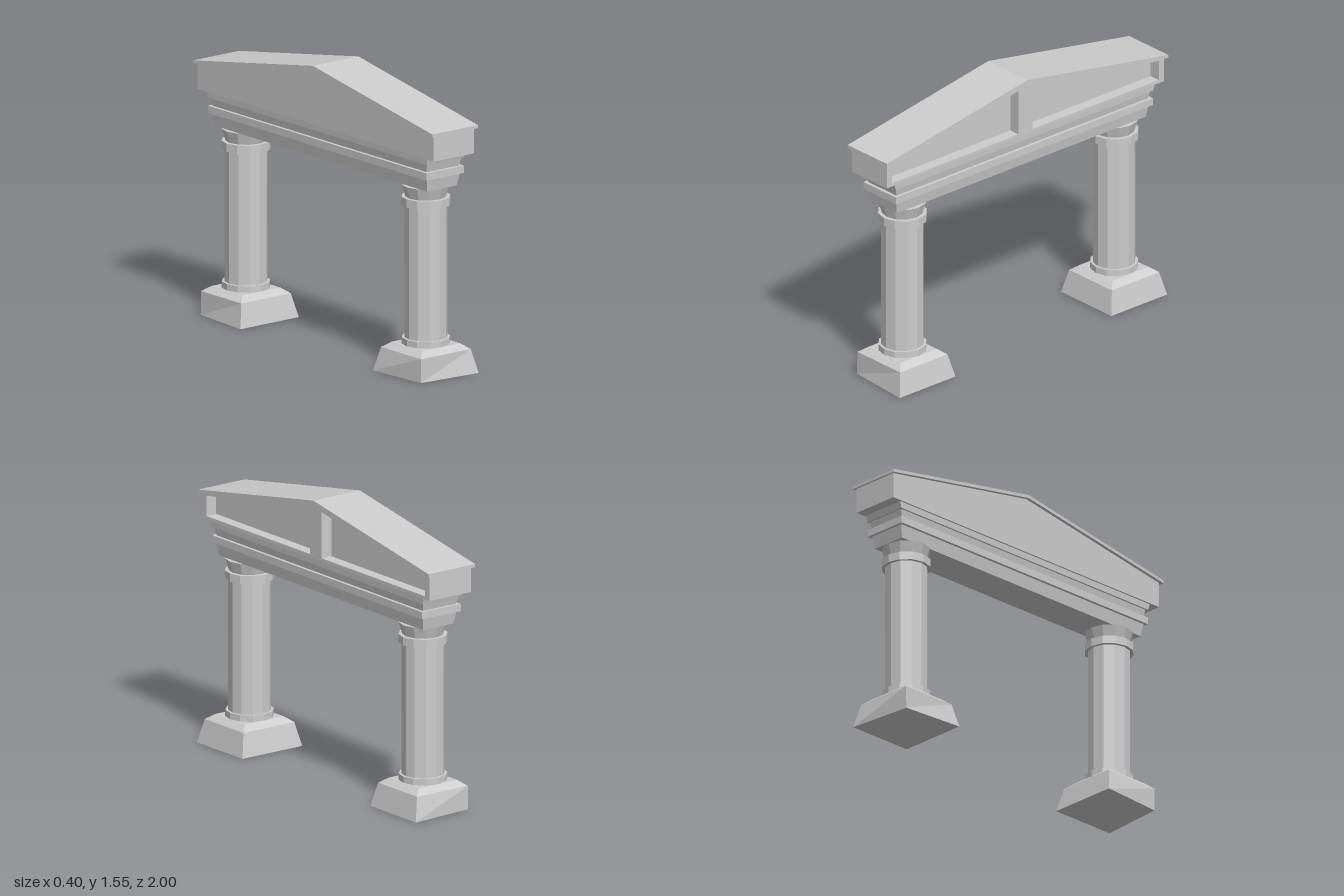
import * as THREE from 'three';

const material = new THREE.MeshStandardMaterial({ color: 0xcccccc, flatShading: true });

function add(parent, name, geometry) {
  const mesh = new THREE.Mesh(geometry, material);
  mesh.name = name;
  parent.add(mesh);
  return mesh;
}

// Four-sided block; half sizes [x, z] at its bottom and at its top
function taper(y0, [bx, bz], y1, [tx, tz]) {
  const g = new THREE.BoxGeometry(2, 2, 2);
  const p = g.attributes.position;
  for (let i = 0; i < p.count; i++) {
    const top = p.getY(i) > 0;
    p.setXYZ(i, p.getX(i) * (top ? tx : bx), top ? y1 : y0, p.getZ(i) * (top ? tz : bz));
  }
  g.computeVertexNormals();
  return g;
}

// Outline in the z-y plane, extruded from x = front back to x = back
function slab(points, front, back, holes = []) {
  const shape = new THREE.Shape(points.map(([z, y]) => new THREE.Vector2(z, y)));
  for (const h of holes) shape.holes.push(new THREE.Path(h.map(([z, y]) => new THREE.Vector2(z, y))));
  const g = new THREE.ExtrudeGeometry(shape, { depth: front - back, bevelEnabled: false });
  return g.rotateY(-Math.PI / 2).translate(front, 0, 0);
}

function drum(y0, r0, y1, r1) {
  return new THREE.CylinderGeometry(r1, r0, y1 - y0, 12).translate(0, (y0 + y1) / 2, 0);
}

// Column on its plinth; side is the z direction of its outer face
function makeColumn(side) {
  const column = new THREE.Group();
  column.name = side > 0 ? 'frontColumn' : 'backColumn';
  column.position.z = side * 0.752;

  // Plinth with one upright outer corner on the -x side
  const plinth = taper(0, [0.2, 0.198], 0.13, [0.17, 0.168]);
  const p = plinth.attributes.position;
  for (let i = 0; i < p.count; i++) {
    if (p.getY(i) < 0.01 && p.getX(i) < 0 && p.getZ(i) * side > 0) p.setXYZ(i, -0.172, 0, side * 0.168);
  }
  plinth.computeVertexNormals();
  add(column, 'plinth', plinth);
  add(column, 'plinthTop', taper(0.13, [0.17, 0.168], 0.16, [0.13, 0.128]));

  add(column, 'baseRing', drum(0.16, 0.13, 0.195, 0.13));
  add(column, 'shaft', drum(0.195, 0.115, 0.92, 0.115));
  add(column, 'neckRing', drum(0.92, 0.132, 0.965, 0.132));
  add(column, 'capital', drum(0.965, 0.11, 1.03, 0.13));
  return column;
}

export function createModel() {
  const model = new THREE.Group();
  model.name = 'gateway';
  model.add(makeColumn(1), makeColumn(-1));

  // Stepped beam: y0, half sizes, y1, half sizes
  const tiers = [
    [1.03, [0.102, 0.885], 1.1, [0.113, 0.897]],
    [1.1, [0.129, 0.913], 1.14, [0.129, 0.913]],
    [1.14, [0.111, 0.894], 1.185, [0.119, 0.905]],
    [1.185, [0.129, 0.915], 1.22, [0.131, 0.925]],
  ];
  const beam = new THREE.Group();
  beam.name = 'beam';
  tiers.forEach((t, i) => add(beam, `beamTier${i + 1}`, taper(...t)));
  model.add(beam);

  // Gable with two sunken panels on the +x face
  const gable = [[-0.985, 1.22], [0.985, 1.22], [0.985, 1.363], [0, 1.532], [-0.985, 1.363]];
  const panels = [1, -1].map((s) =>
    [[0.05, 1.238], [0.948, 1.238], [0.948, 1.35], [0.05, 1.492]].map(([z, y]) => [s * z, y]));
  add(model, 'gableFrame', slab(gable, 0.137, 0.072, panels));
  add(model, 'gableBack', slab(gable, 0.072, -0.14));

  // Pitched roof
  const roof = [[-1, 1.358], [0, 1.53], [1, 1.358], [1, 1.375], [0, 1.548], [-1, 1.375]];
  add(model, 'roof', slab(roof, 0.154, -0.158));

  return model;
}
